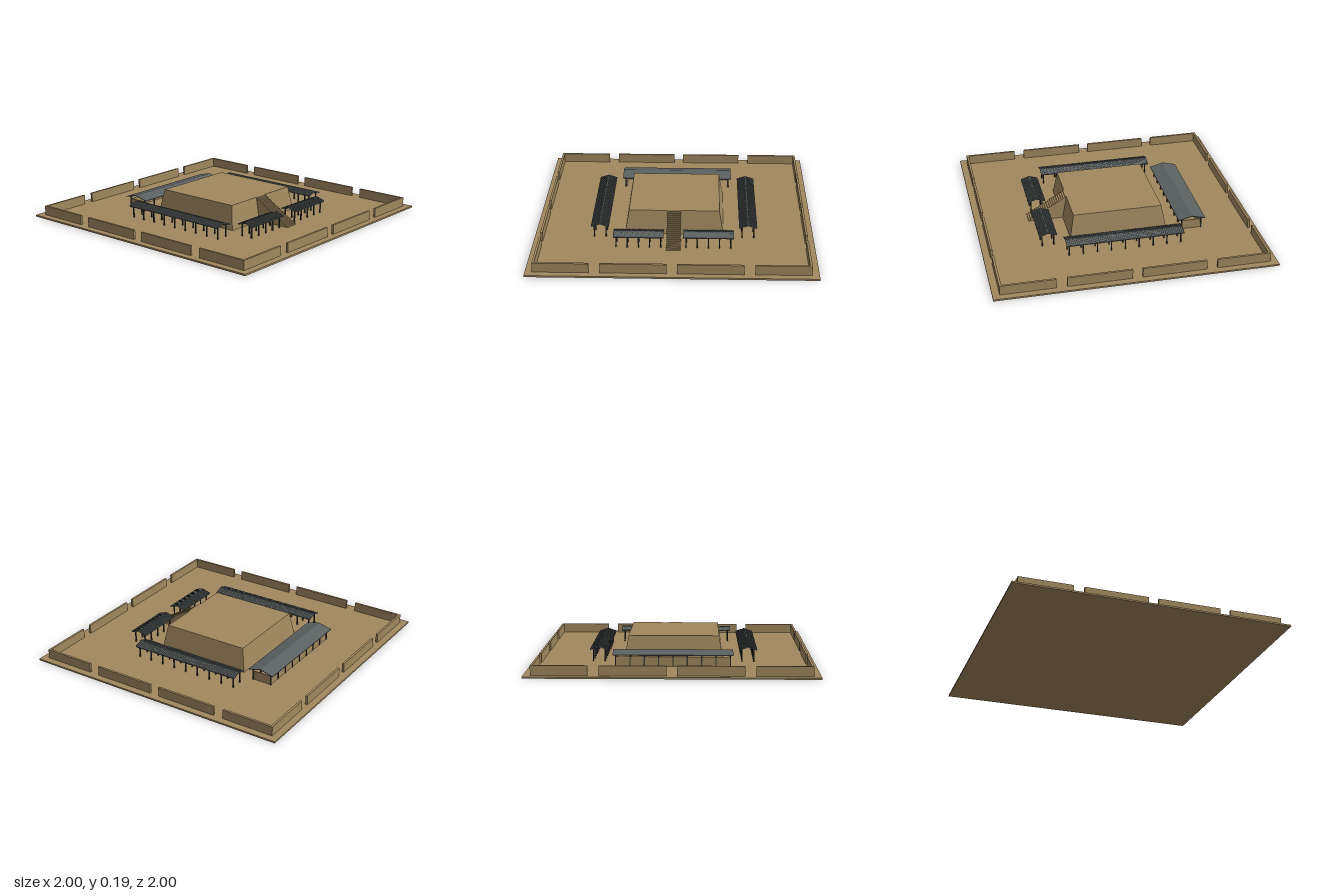
import * as THREE from 'three';

export function createModel() {
  const material = (name, color) => {
    const m = new THREE.MeshStandardMaterial({ color });
    m.name = name;
    return m;
  };
  const earth = material('packed earth', 0xa0885f);
  const slate = material('slate tile', 0x5b6161);
  const timber = material('dark timber', 0x3a3835);

  const model = new THREE.Group();
  model.name = 'courtyard';
  const floor = 0.012;

  const box = (parent, name, mat, w, h, d, x, y, z) => {
    const mesh = new THREE.Mesh(new THREE.BoxGeometry(w, h, d), mat);
    mesh.name = name;
    mesh.position.set(x, y + h / 2, z); // y is the underside
    parent.add(mesh);
    return mesh;
  };

  box(model, 'ground', earth, 2, floor, 2, 0, 0, 0);

  // Perimeter wall with three gaps on each side
  const spans = [[-0.95, -0.565], [-0.49, -0.035], [0.035, 0.49], [0.565, 0.95]];
  for (let side = 0; side < 4; side++) {
    const wall = new THREE.Group();
    wall.name = 'perimeterWall';
    wall.rotation.y = side * Math.PI / 2;
    for (const [a, b] of spans) {
      box(wall, 'wallSection', earth, b - a, 0.068, 0.016, (a + b) / 2, floor, 0.942);
    }
    model.add(wall);
  }

  // Central platform with sloping sides
  const platformHeight = 0.173;
  const platform = box(model, 'platform', earth, 0.71, platformHeight, 0.71, 0, floor, 0);
  const p = platform.geometry.attributes.position;
  for (let i = 0; i < p.count; i++) {
    if (p.getY(i) > 0) {
      p.setX(i, Math.sign(p.getX(i)) * 0.325);
      p.setZ(i, Math.sign(p.getZ(i)) * 0.325);
    }
  }
  platform.geometry.computeVertexNormals();

  // Front stairway, as one stepped profile
  const steps = 20, back = 0.32, front = 0.61;
  const profile = new THREE.Shape();
  profile.moveTo(back, floor);
  profile.lineTo(front, floor);
  for (let i = 0; i < steps; i++) {
    const y = floor + platformHeight * (i + 1) / steps;
    profile.lineTo(front - (front - back) * i / steps, y);
    profile.lineTo(front - (front - back) * (i + 1) / steps, y);
  }
  const stairGeometry = new THREE.ExtrudeGeometry(profile, { depth: 0.1, bevelEnabled: false });
  stairGeometry.translate(0, 0, -0.05);
  stairGeometry.rotateY(-Math.PI / 2);
  const stairs = new THREE.Mesh(stairGeometry, earth);
  stairs.name = 'stairs';
  model.add(stairs);

  // Gabled roof running along local x
  const gable = (parent, length, half, eave, ridge, thick) => {
    const s = new THREE.Shape();
    s.moveTo(-half, eave - thick);
    s.lineTo(0, ridge - thick);
    s.lineTo(half, eave - thick);
    s.lineTo(half, eave);
    s.lineTo(0, ridge);
    s.lineTo(-half, eave);
    const g = new THREE.ExtrudeGeometry(s, { depth: length, bevelEnabled: false });
    g.translate(0, 0, -length / 2);
    g.rotateY(Math.PI / 2);
    const roof = new THREE.Mesh(g, slate);
    roof.name = 'roof';
    parent.add(roof);
  };

  // Two rows of posts, each carrying a beam
  const frame = (parent, length, offset, bays) => {
    for (const side of [-1, 1]) {
      for (let i = 0; i <= bays; i++) {
        box(parent, 'post', timber, 0.008, 0.09, 0.008,
          (i / bays - 0.5) * length, floor, side * offset);
      }
      box(parent, 'beam', timber, length + 0.008, 0.007, 0.007, 0, 0.094, side * offset);
    }
  };

  // Open gallery with ribbed tile roof
  const gallery = (x, z, length, bays, turn) => {
    const g = new THREE.Group();
    g.name = 'gallery';
    g.position.set(x, 0, z);
    g.rotation.y = turn;
    const half = 0.064, eave = 0.101, ridge = 0.122;
    gable(g, length, half, eave, ridge, 0.006);
    frame(g, length - 0.04, 0.042, bays);
    const ribs = Math.round(length / 0.013);
    const slope = Math.atan2(ridge - eave, half);
    for (let i = 0; i <= ribs; i++) {
      for (const side of [-1, 1]) {
        const rib = box(g, 'tileRib', slate, 0.005, 0.005, Math.hypot(half, ridge - eave),
          (i / ribs - 0.5) * (length - 0.005), 0, side * half / 2);
        rib.position.y = (eave + ridge) / 2 + 0.001;
        rib.rotation.x = side * slope;
      }
    }
    box(g, 'ridgeTile', slate, length, 0.006, 0.008, 0, ridge - 0.002, 0);
    model.add(g);
  };
  for (const side of [-1, 1]) {
    gallery(side * 0.53, 0, 0.85, 8, Math.PI / 2);
    gallery(side * 0.247, 0.527, 0.355, 4, 0);
  }

  // Rear hall with a plain roof and low earth walls
  const hall = new THREE.Group();
  hall.name = 'rearHall';
  hall.position.z = -0.532;
  gable(hall, 0.84, 0.1, 0.097, 0.122, 0.005);
  frame(hall, 0.8, 0.072, 8);
  box(hall, 'backWall', earth, 0.79, 0.068, 0.006, 0, floor, -0.068);
  for (const side of [-1, 1]) {
    box(hall, 'endWall', earth, 0.006, 0.068, 0.136, side * 0.395, floor, 0);
  }
  model.add(hall);

  return model;
}
